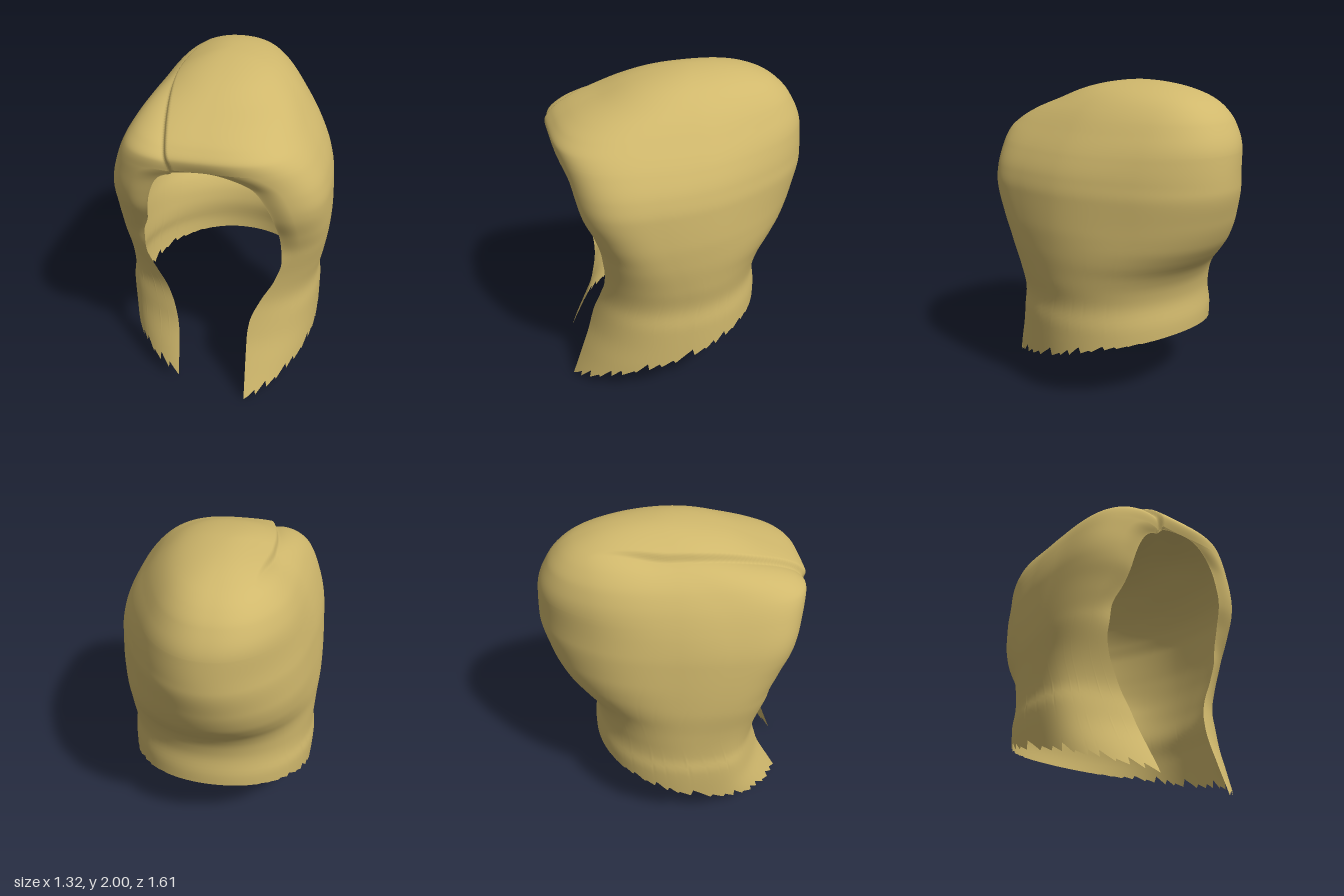
import * as THREE from 'three';
import { mergeVertices } from 'three/addons/utils/BufferGeometryUtils.js';

// Smooth monotone table lookup; the key is the root of the distance below "top",
// so that profiles close roundly there. Rows are [y, value] with y falling from top.
function profile(top, rows) {
  const k = rows.map(r => Math.sqrt(Math.max(0, top - r[0])));
  const v = rows.map(r => r[1]);
  const slope = i => (v[i + 1] - v[i]) / (k[i + 1] - k[i]);
  const tan = v.map((_, i) => {
    if (i === 0) return slope(0);
    if (i === v.length - 1) return slope(i - 1);
    const a = slope(i - 1), b = slope(i);
    return a * b <= 0 ? 0 : (2 * a * b) / (a + b);
  });
  return y => {
    const x = Math.sqrt(Math.max(0, top - y));
    let i = 0;
    while (i < k.length - 2 && x > k[i + 1]) i++;
    const h = k[i + 1] - k[i], t = Math.min(1, (x - k[i]) / h), t2 = t * t, t3 = t2 * t;
    return (2 * t3 - 3 * t2 + 1) * v[i] + (t3 - 2 * t2 + t) * h * tan[i]
      + (3 * t2 - 2 * t3) * v[i + 1] + (t3 - t2) * h * tan[i + 1];
  };
}

const TOP = 2, ARCH = 1.61;

// Outline of the hair at each height
const leftX = profile(TOP, [[2, -0.05], [1.98, 0.12], [1.94, 0.23], [1.845, 0.36], [1.72, 0.47], [1.58, 0.57],
  [1.45, 0.63], [1.34, 0.652], [1.15, 0.657], [1, 0.648], [0.8, 0.62], [0.62, 0.592], [0.5, 0.602], [0.25, 0.6],
  [0, 0.58]]);
const rightX = profile(TOP, [[2, -0.05], [1.975, -0.2], [1.925, -0.315], [1.86, -0.405], [1.755, -0.495],
  [1.565, -0.585], [1.34, -0.64], [1, -0.66], [0.8, -0.645], [0.6, -0.636], [0.5, -0.65], [0.25, -0.635], [0, -0.6]]);
const frontZ = profile(TOP, [[2, -0.1], [1.99, 0.05], [1.94, 0.29], [1.87, 0.47], [1.79, 0.67], [1.735, 0.755],
  [1.67, 0.8], [1.6, 0.79], [1.5, 0.77], [1.4, 0.757], [1.3, 0.742], [1.15, 0.69], [1, 0.645], [0.8, 0.635],
  [0.65, 0.64], [0.4, 0.685], [0.2, 0.755], [0, 0.835]]);
const backZ = profile(TOP, [[2, -0.1], [1.99, -0.29], [1.97, -0.41], [1.94, -0.51], [1.9, -0.6], [1.85, -0.67],
  [1.775, -0.735], [1.6, -0.805], [1.4, -0.815], [1.2, -0.77], [1.05, -0.71], [0.95, -0.64], [0.85, -0.56],
  [0.75, -0.515], [0.65, -0.5], [0.5, -0.515], [0, -0.48]]);
const midZ = profile(TOP, [[2, -0.1], [1.9, 0], [1.8, 0.1], [1.6, 0.26], [1.4, 0.28], [1.1, 0.22], [0.7, 0.1],
  [0, 0.09]]);
const frontSquare = profile(TOP, [[2, 2], [1.85, 2.5], [1.6, 3.2], [1.4, 3.3], [1, 2.8], [0.6, 2.45], [0, 2.4]]);
const backSquare = profile(TOP, [[2, 2], [1.9, 2.35], [1.7, 2.25], [1.4, 2], [0.9, 2.05], [0, 2.1]]);

// Half widths of the face opening
const openLeft = profile(ARCH, [[1.61, 0], [1.585, 0.13], [1.5, 0.27], [1.4, 0.33], [1.3, 0.37], [1.1, 0.405],
  [0.95, 0.41], [0.8, 0.37], [0.65, 0.29], [0.5, 0.23], [0.4, 0.22], [0, 0.23]]);
const openRight = profile(ARCH, [[1.61, 0], [1.59, 0.18], [1.54, 0.27], [1.4, 0.34], [1.2, 0.38], [1.05, 0.43],
  [0.9, 0.435], [0.8, 0.41], [0.6, 0.32], [0.45, 0.265], [0.3, 0.235], [0, 0.21]]);

const smooth = THREE.MathUtils.smoothstep;

// Share of the way from the back to the rim, with columns packed towards the rim
const spread = u => Math.sign(u) * (1 - Math.pow(1 - Math.abs(u), 1.45));

// Point on the shell: u runs from the right rim (-1) round the back to the left rim (1)
function section(u, y) {
  const l = leftX(y), r = rightX(y), cx = (l + r) / 2, half = (l - r) / 2, zc = midZ(y);
  // the right temple is fuller than the left
  const n = frontSquare(y) + (u < 0 ? 0.6 * smooth(y, 1.2, 1.5) * (1 - smooth(y, 1.7, 1.95)) : 0);
  let end = Math.PI;
  if (y < ARCH - 1e-6) {
    const w = u > 0 ? openLeft(y) - cx : openRight(y) + cx;
    end -= Math.asin(Math.pow(Math.min(1, Math.max(0, w / half)), n / 2));
  }
  const a = spread(u) * end, s = Math.sin(a), c = -Math.cos(a);
  const p = 2 / (c > 0 ? n : backSquare(y));
  const x = cx + half * Math.sign(s) * Math.pow(Math.abs(s), p);
  const reach = Math.pow(Math.abs(c), p);
  let z = c > 0 ? zc + (frontZ(y) - zc) * reach : zc + (backZ(y) - zc) * reach;
  // the right front lock hangs further back
  if (u < 0) z -= (0.055 + 0.04 * smooth(y, 0, 0.4)) * smooth(c, 0.2, 0.95) * (1 - smooth(y, 0.5, 1));
  // the back of the head sits a little to the right
  return new THREE.Vector3(x - 0.035 * smooth(-z, 0, 0.5) * smooth(y, 0.8, 1.2), y, z);
}

// Side parting: the hair on the right dips where it meets the parting line
function addParting(p) {
  const line = -0.33 + 0.11 * Math.pow(Math.max(0, p.z - 0.1) / 0.67, 1.5) + 0.06 * smooth(-p.z, 0, 0.5)
    + 0.03 * smooth(1.72 - p.y, 0, 0.12);
  const d = line - p.x;
  if (p.y < 1.5) return;
  const depth = 0.042 * smooth(d, -0.01, 0.02) * Math.exp(-Math.max(0, d) / 0.1)
    * smooth(p.z, -0.5, -0.1) * smooth(p.y, 1.5, 1.62);
  const out = new THREE.Vector3(p.x * 0.6, p.y - 1.2, p.z * 0.6).normalize();
  p.addScaledVector(out, -depth);
}

// Hem height, climbing from the front tips to the nape, with ragged points
function hemHeight(u) {
  const z = section(u, 0.25).z;
  const pts = [[-0.5, 0.44], [-0.2, 0.36], [0, 0.29], [0.3, 0.21], [0.5, 0.14], [0.62, 0.07], [0.7, 0], [1, 0]];
  let i = 0;
  while (i < pts.length - 2 && z > pts[i + 1][0]) i++;
  const t = THREE.MathUtils.clamp((z - pts[i][0]) / (pts[i + 1][0] - pts[i][0]), 0, 1);
  const base = THREE.MathUtils.lerp(pts[i][1], pts[i + 1][1], t);
  const tooth = (1 - Math.abs(spread(u))) * 22;
  const size = 0.04 + 0.02 * Math.sin(Math.floor(tooth) * 2.3);
  return base + size * (tooth % 1) * smooth(z, -0.5, -0.1);
}

function hairGeometry() {
  const cols = 300, lower = 70, upper = 80, pos = [], index = [];
  const heights = [];
  for (let j = 0; j <= lower; j++) heights.push(ARCH * (1 - Math.pow(1 - j / lower, 2)));
  for (let j = 1; j <= upper; j++) heights.push(TOP - (TOP - ARCH) * Math.pow(1 - j / upper, 2));
  const us = Array.from({ length: cols + 1 }, (_, i) => -1 + (2 * i) / cols);
  const hems = us.map(hemHeight);
  heights.forEach((h, j) => {
    us.forEach((u, i) => {
      const y = j < lower ? h + hems[i] * (1 - h / ARCH) : h;
      const p = section(u, y);
      // rim of the face opening rolls inward
      p.z -= 0.025 * smooth(Math.abs(u), 0.8, 1) * smooth(y, 0.9, 1.2) * (1 - smooth(y, 1.5, 1.68));
      addParting(p);
      pos.push(p.x, p.y, p.z);
    });
  });
  const w = cols + 1;
  for (let j = 0; j < heights.length - 1; j++) {
    for (let i = 0; i < cols; i++) {
      const a = j * w + i, b = a + 1, c = a + w, d = c + 1;
      index.push(a, c, b);
      if (j < heights.length - 2) index.push(b, c, d);
    }
  }
  let geo = new THREE.BufferGeometry();
  geo.setAttribute('position', new THREE.Float32BufferAttribute(pos, 3));
  geo.setIndex(index);
  geo = mergeVertices(geo, 1e-5);
  geo.computeVertexNormals();
  return geo;
}

export function createModel() {
  const group = new THREE.Group();
  group.name = 'hair';
  const blond = new THREE.MeshStandardMaterial({ color: 0xd0b86c, side: THREE.DoubleSide });
  blond.name = 'blond';
  const shell = new THREE.Mesh(hairGeometry(), blond);
  shell.name = 'hairShell';
  group.add(shell);
  return group;
}
